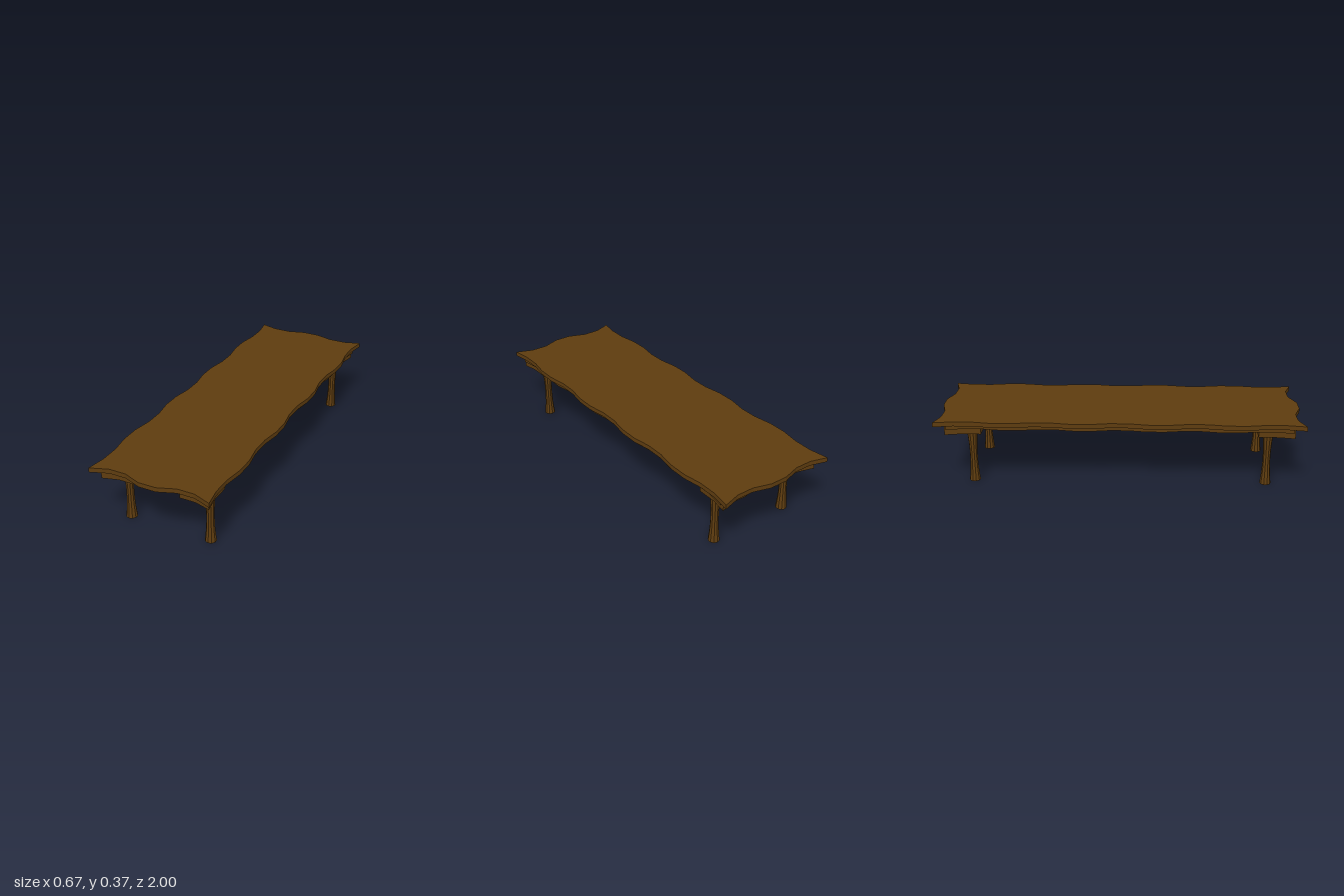
import * as THREE from 'three';

const wood = new THREE.MeshStandardMaterial({ color: 0x5e3c0f });
wood.name = 'dark wood';

// Horizontal slab from an outline of [x, z] points, hanging down from y = top
function slab(name, points, top, thickness) {
  const shape = new THREE.Shape(points.map(([x, z]) => new THREE.Vector2(x, z)));
  const geo = new THREE.ExtrudeGeometry(shape, { depth: thickness, bevelEnabled: false });
  geo.rotateX(Math.PI / 2);
  geo.translate(0, top, 0);
  const mesh = new THREE.Mesh(geo, wood);
  mesh.name = name;
  return mesh;
}

// Scalloped rectangle: edge points alternate in pairs between crest and dip
function wavyOutline(scale) {
  const W = 0.337, L = 1, NX = 7, NZ = 19;
  const dip = (k) => k % 4 === 1 || k % 4 === 2;
  const pts = [];
  for (let k = 0; k < NX; k++) pts.push([-W + (2 * W * k) / NX, -L + (dip(k) ? 0.028 : 0)]);
  for (let k = 0; k < NZ; k++) pts.push([W - (dip(k) ? 0.017 : 0), -L + (2 * L * k) / NZ]);
  for (let k = 0; k < NX; k++) pts.push([W - (2 * W * k) / NX, L - (dip(k) ? 0.036 : 0)]);
  for (let k = 0; k < NZ; k++) pts.push([-W + (dip(k) ? 0.017 : 0), L - (2 * L * k) / NZ]);
  return pts.map(([x, z]) => [x * scale, z * scale]);
}

// Faceted leg with a narrow waist
function makeLeg() {
  const height = 0.3, profile = [new THREE.Vector2(0, 0)];
  for (let i = 0; i <= 8; i++) {
    const t = i / 8;
    profile.push(new THREE.Vector2(0.021 + 0.01 * (2 * t - 1) ** 2, t * height));
  }
  profile.push(new THREE.Vector2(0, height));
  const geo = new THREE.LatheGeometry(profile, 10).toNonIndexed();
  geo.computeVertexNormals();
  const leg = new THREE.Mesh(geo, wood);
  leg.name = 'leg';
  return leg;
}

export function createModel() {
  const table = new THREE.Group();
  table.name = 'table';

  // Top board and the smaller board beneath it
  table.add(slab('tableTop', wavyOutline(1), 0.373, 0.025));
  table.add(slab('underBoard', wavyOutline(0.935), 0.348, 0.023));

  // L-shaped corner bracket and leg at each corner
  const bracket = [
    [0.305, 0.945], [0.218, 0.92], [0.13, 0.92], [0.13, 0.83],
    [0.2, 0.83], [0.2, 0.75], [0.289, 0.75], [0.289, 0.86],
  ];
  for (const sx of [-1, 1]) {
    for (const sz of [-1, 1]) {
      const corner = new THREE.Group();
      corner.name = `${sz > 0 ? 'front' : 'back'}${sx > 0 ? 'Left' : 'Right'}Corner`;
      corner.add(slab('bracket', bracket.map(([x, z]) => [x * sx, z * sz]), 0.348, 0.057));
      const leg = makeLeg();
      leg.position.set(0.235 * sx, 0, 0.807 * sz);
      corner.add(leg);
      table.add(corner);
    }
  }
  return table;
}
